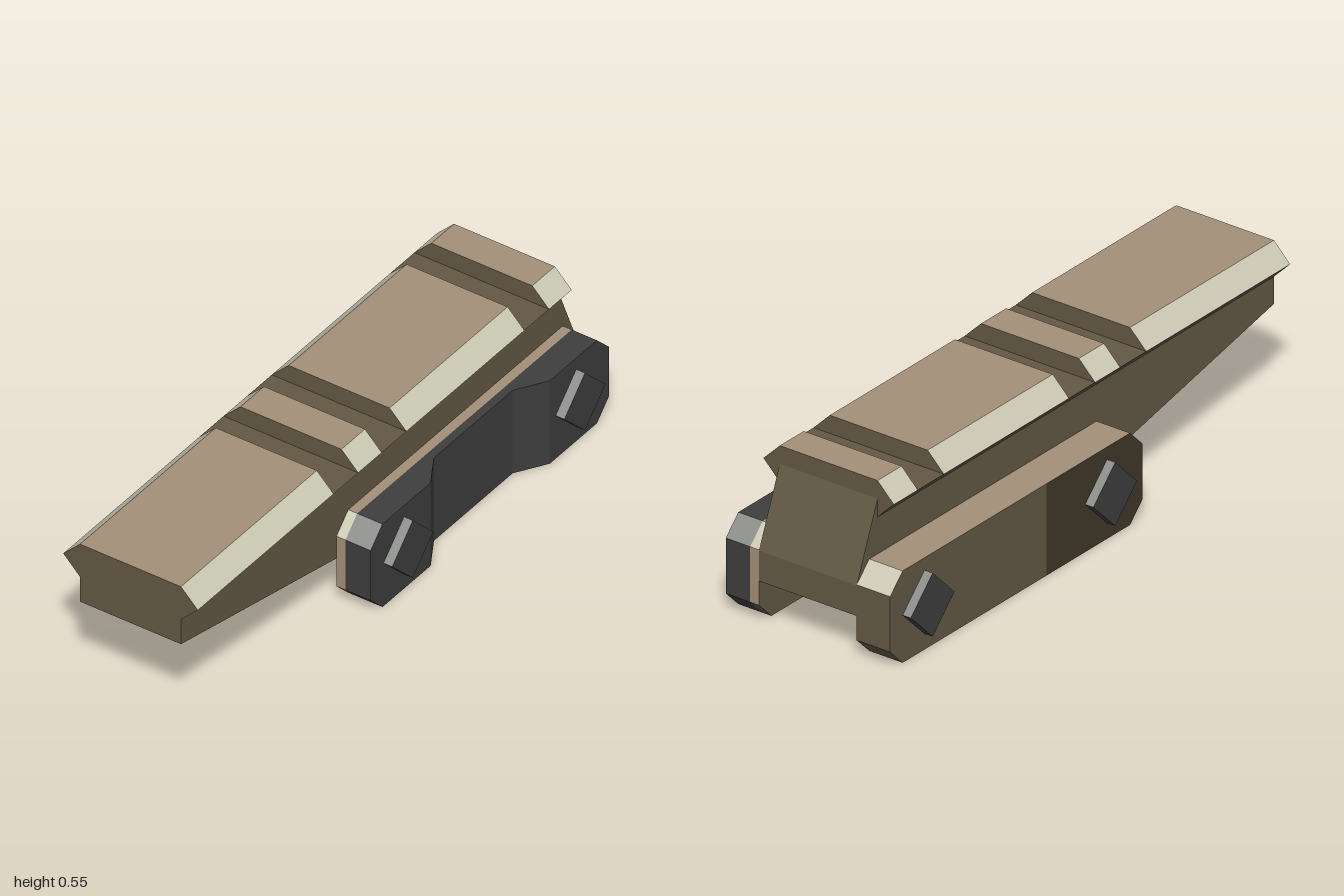
import * as THREE from 'three';

const material = (name, color) => {
  const m = new THREE.MeshStandardMaterial({ color });
  m.name = name;
  return m;
};
const tan = material('tan', 0xa39078);
const brown = material('brown', 0x635844);
const darkBrown = material('darkBrown', 0x403829);
const cream = material('cream', 0xcccab4);
const black = material('black', 0x3e3e3e);
const grey = material('grey', 0x8a8c8a);

// Faceted mesh from convex faces [material, corners], one group per face
function facetMesh(name, faces) {
  const positions = [];
  const mats = [];
  const geo = new THREE.BufferGeometry();
  for (const [mat, pts] of faces) {
    if (!mats.includes(mat)) mats.push(mat);
    const start = positions.length / 3;
    for (let i = 1; i < pts.length - 1; i++) positions.push(...pts[0], ...pts[i], ...pts[i + 1]);
    geo.addGroup(start, positions.length / 3 - start, mats.indexOf(mat));
  }
  geo.setAttribute('position', new THREE.Float32BufferAttribute(positions, 3));
  geo.computeVertexNormals();
  const mesh = new THREE.Mesh(geo, mats);
  mesh.name = name;
  return mesh;
}

// Prism of a counter-clockwise convex outline; pick(nu, nv) colours each side face
function prism(name, outline, w0, w1, place, capMat, pick) {
  const at = w => outline.map(([u, v]) => place(u, v, w));
  const a = at(w0), b = at(w1);
  const faces = [[capMat, b], [capMat, [...a].reverse()]];
  outline.forEach(([u, v], i) => {
    const j = (i + 1) % outline.length;
    const [u2, v2] = outline[j];
    faces.push([pick(v2 - v, u - u2), [a[i], a[j], b[j], b[i]]]);
  });
  return facetMesh(name, faces);
}
const alongZ = (u, v, w) => [u, v, w];
const alongX = (u, v, w) => [w, v, -u]; // u runs towards the back

// Clamp bar lofted through stations [u, bottom, top, innerX, outerX]
function clampBar(name, stations, c) {
  const ring = ([u, y0, y1, x0, x1]) => [[x0, y0, -u], [x1, y0, -u], [x1, y1, -u], [x0, y1, -u]];
  const rings = stations.map(ring);
  const faces = [[c.end, rings[0]], [c.end, [...rings[rings.length - 1]].reverse()]];
  for (let i = 0; i < rings.length - 1; i++) {
    const a = rings[i], b = rings[i + 1];
    const level = stations[i][2] === stations[i + 1][2];
    const sides = [c.bottom, c.right(stations[i][0]), level ? c.top : c.chamfer, c.left(stations[i][0])];
    sides.forEach((mat, k) => {
      const n = (k + 1) % 4;
      faces.push([mat, [a[k], b[k], b[n], a[n]]]);
    });
  }
  return facetMesh(name, faces);
}

export function createModel() {
  const model = new THREE.Group();
  model.name = 'railMount';

  // Central body, tapering towards the front
  model.add(prism('body',
    [[-1, 0.335], [-0.11, 0.14], [1, 0.14], [1, 0.24], [0.9, 0.485], [-1, 0.485]],
    -0.18, 0.18, alongX, brown, () => brown));

  // Flared rail base
  model.add(prism('railBase',
    [[-0.18, 0.425], [0.18, 0.425], [0.24, 0.485], [-0.24, 0.485]],
    -0.9, 1, alongZ, brown, () => brown));

  // Rail teeth with pale bevels
  const teeth = [[0.31, 1], [0.065, 0.185], [-0.66, -0.06], [-0.9, -0.785]];
  for (const [z0, z1] of teeth) {
    model.add(prism('railTooth',
      [[-0.24, 0.485], [0.24, 0.485], [0.18, 0.545], [-0.18, 0.545]],
      z0, z1, alongZ, brown,
      (nx, ny) => (ny <= 0 ? brown : Math.abs(nx) < 0.001 ? tan : cream)));
  }

  // Clamp bars: shared chamfered side outline
  const bar = (us, x0, outer) => us.map((u, i) => {
    const tip = i === 0 || i === us.length - 1;
    return [u, tip ? 0.06 : 0, tip ? 0.243 : 0.303, x0, outer(u)];
  });
  model.add(clampBar('rightBlock', bar([-0.21, -0.15, 0.25, 0.94, 1], -0.303, () => -0.18), {
    end: brown, bottom: brown, top: tan, chamfer: cream,
    right: () => brown, left: u => (u < 0.25 ? darkBrown : brown),
  }));
  model.add(clampBar('leftBacking', bar([-0.21, -0.15, 0.94, 1], 0.18, () => 0.212), {
    end: tan, bottom: brown, top: tan, chamfer: cream, right: () => brown, left: () => brown,
  }));

  // Outer clamp plate with a shallow waist
  const waist = u => (u > 0.15 && u < 0.65 ? 0.24 : 0.302);
  model.add(clampBar('leftClampPlate',
    bar([-0.21, -0.15, 0.095, 0.2, 0.6, 0.7, 0.94, 1], 0.212, waist), {
      end: black, bottom: black, top: black, chamfer: grey, right: () => black, left: () => black,
    }));

  // Diamond cross bolts through both clamps
  const r = 0.105;
  for (const u of [-0.04, 0.835]) {
    model.add(prism('crossBolt',
      [[u - r, 0.157], [u, 0.157 - r], [u + r, 0.157], [u, 0.157 + r]],
      -0.333, 0.333, alongX, black, (nu, ny) => (ny > 0 ? grey : black)));
  }
  return model;
}
